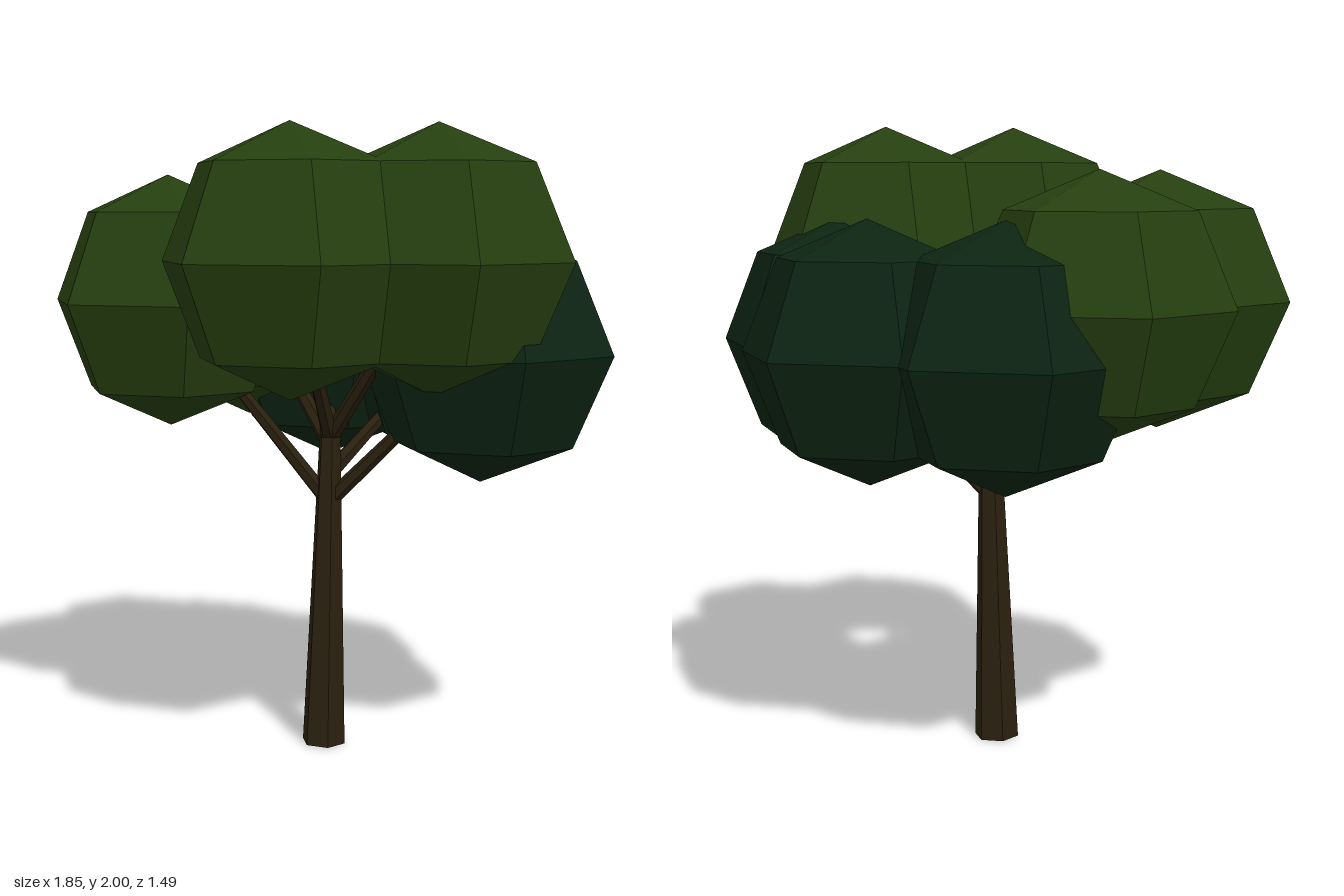
import * as THREE from 'three';

const material = (name, color) => {
  const m = new THREE.MeshStandardMaterial({ color });
  m.name = name;
  return m;
};

// Faceted copy of a geometry: one normal per face
function faceted(geometry) {
  const g = geometry.toNonIndexed();
  g.computeVertexNormals();
  return g;
}

// Tapered limb running between two points
function limb(name, from, to, r0, r1, mat) {
  const dir = to.clone().sub(from);
  const geo = new THREE.CylinderGeometry(r1, r0, dir.length(), 6);
  geo.rotateY(Math.PI / 6);
  const mesh = new THREE.Mesh(faceted(geo), mat);
  mesh.name = name;
  mesh.position.copy(from).add(to).multiplyScalar(0.5);
  mesh.quaternion.setFromUnitVectors(new THREE.Vector3(0, 1, 0), dir.normalize());
  return mesh;
}

export function createModel() {
  const tree = new THREE.Group();
  tree.name = 'tree';
  const bark = material('bark brown', 0x2a200f);
  const light = material('light leaf green', 0x263f10);
  const dark = material('dark leaf green', 0x0d2412);
  const v = (x, y, z) => new THREE.Vector3(x, y, z);

  // Slightly leaning trunk
  const base = v(-0.007, 0, 0), top = v(0.016, 1.07, 0);
  tree.add(limb('trunk', base, top, 0.073, 0.034, bark));

  // Leaf clumps: centre x, y, z, height where the branch leaves the trunk, colour
  const clumps = [
    [0.04, 1.594, 0.433, 1.02, light],
    [0.43, 1.594, 0.23, 1.02, light],
    [-0.515, 1.452, 0.067, 0.81, light],
    [-0.39, 1.452, -0.31, 1.0, light],
    [0.51, 1.306, -0.01, 0.81, dark],
    [0.305, 1.306, -0.362, 0.9, dark],
    [-0.14, 1.306, -0.438, 0.9, dark],
  ];
  const leaf = faceted(new THREE.SphereGeometry(1, 6, 4).scale(0.41, 0.406, 0.36));
  clumps.forEach(([x, y, z, start, mat], i) => {
    const clump = new THREE.Mesh(leaf, mat);
    clump.name = `leafClump${i + 1}`;
    clump.position.set(x, y, z);
    tree.add(clump);
    // Branch from the trunk into the clump
    const root = base.clone().lerp(top, start / top.y);
    tree.add(limb(`branch${i + 1}`, root, clump.position, 0.027, 0.016, bark));
  });
  return tree;
}
